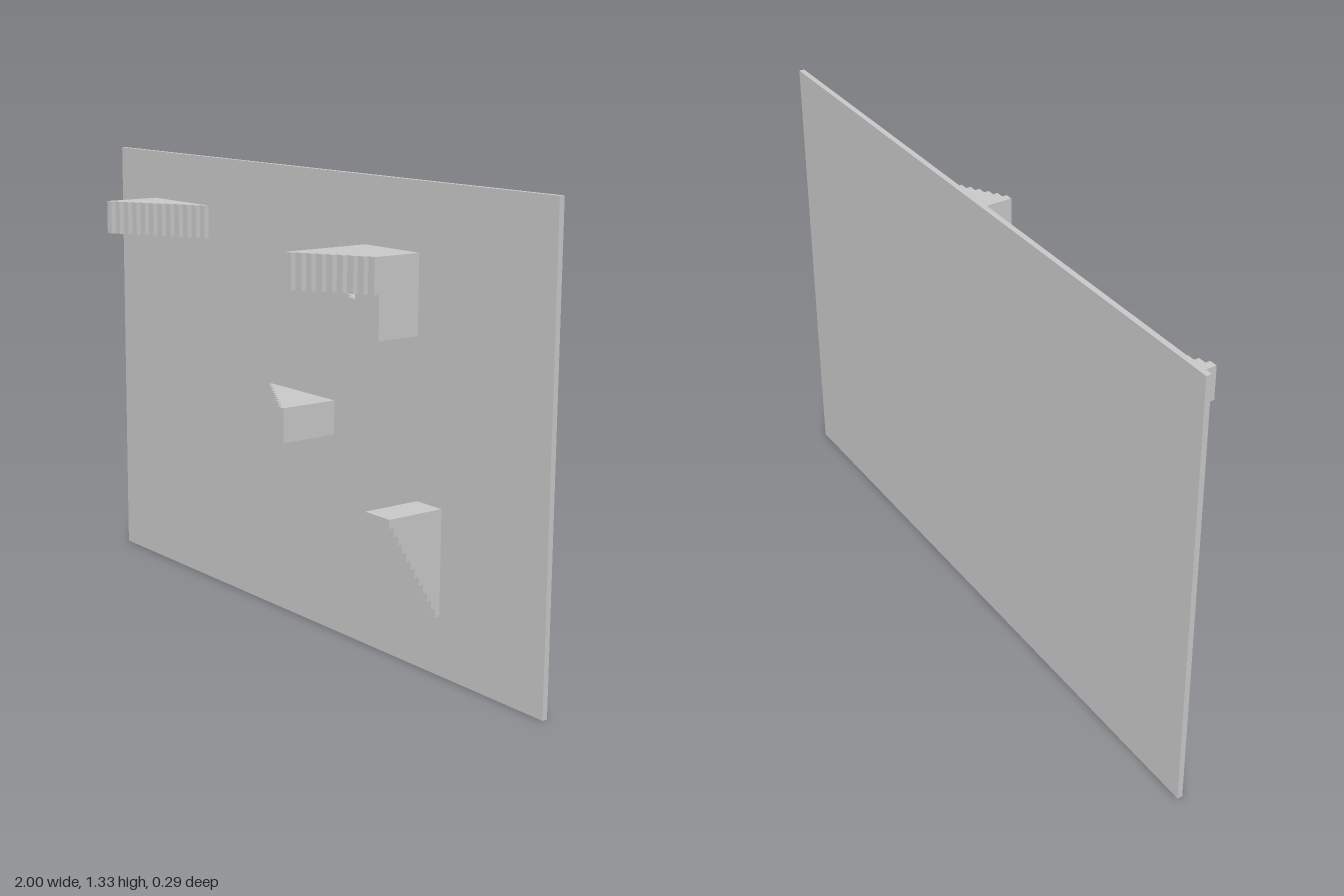
import * as THREE from 'three';

const RUN = 0.025, RISE = 0.015, HEIGHT = 0.1, WALL = -0.128;

// Solid stepped block: profile [along, depth] extruded by HEIGHT.
// Steps start at depth `base` and grow; `landing` adds a flat end.
function stepGeometry(steps, base = 0, landing = 0) {
  const shape = new THREE.Shape();
  shape.moveTo(0, 0);
  for (let i = 0; i < steps; i++) {
    const d = base + (i + 1) * RISE;
    shape.lineTo(i * RUN, d);
    shape.lineTo((i + 1) * RUN, d);
  }
  let end = steps * RUN;
  if (landing) {
    const d = base + (steps + 1) * RISE;
    shape.lineTo(end, d);
    end += landing;
    shape.lineTo(end, d);
  }
  shape.lineTo(end, 0);
  return new THREE.ExtrudeGeometry(shape, { depth: HEIGHT, bevelEnabled: false });
}

export function createModel() {
  const model = new THREE.Group();
  const grey = new THREE.MeshStandardMaterial({ color: 0xc8c8c8 });
  grey.name = 'lightGrey';

  const add = (name, geometry, x, y, z) => {
    const mesh = new THREE.Mesh(geometry, grey);
    mesh.name = name;
    mesh.position.set(x, y, z);
    model.add(mesh);
  };

  // Back panel
  add('wallPanel', new THREE.BoxGeometry(2, 1.333, 0.016), 0, 0.6665, -0.136);

  // Profile laid flat, growing toward +x: (along, depth, extrude) -> (x, z, -y)
  const growRight = (name, geo, x, top) =>
    add(name, geo.rotateX(Math.PI / 2), x, top, WALL);
  // Same, growing toward -x: (along, depth, extrude) -> (-x, z, y)
  const growLeft = (name, geo, x, bottom) =>
    add(name, geo.rotateX(Math.PI / 2).rotateZ(Math.PI), x, bottom, WALL);

  growLeft('upperSteps', stepGeometry(12), -0.5, 1.085);
  growRight('middleSteps', stepGeometry(12), -0.168, 0.684);

  // Upright steps growing toward the top: (along, depth, extrude) -> (y, z, x)
  const upright = stepGeometry(12).applyMatrix4(new THREE.Matrix4().makeBasis(
    new THREE.Vector3(0, 1, 0), new THREE.Vector3(0, 0, 1), new THREE.Vector3(1, 0, 0)));
  add('uprightSteps', upright, 0.498, 0.168, WALL);

  // Turning pair: lower flight with landing, joining block, upper flight
  growRight('lowerFlight', stepGeometry(8, 0, 0.125), 0.165, 1.02);
  add('landingRiser', new THREE.BoxGeometry(0.1, 0.023, 0.135), 0.44, 1.0315, WALL + 0.0675);
  growLeft('upperFlight', stepGeometry(9, 0.137), 0.49, 1.043);

  return model;
}
